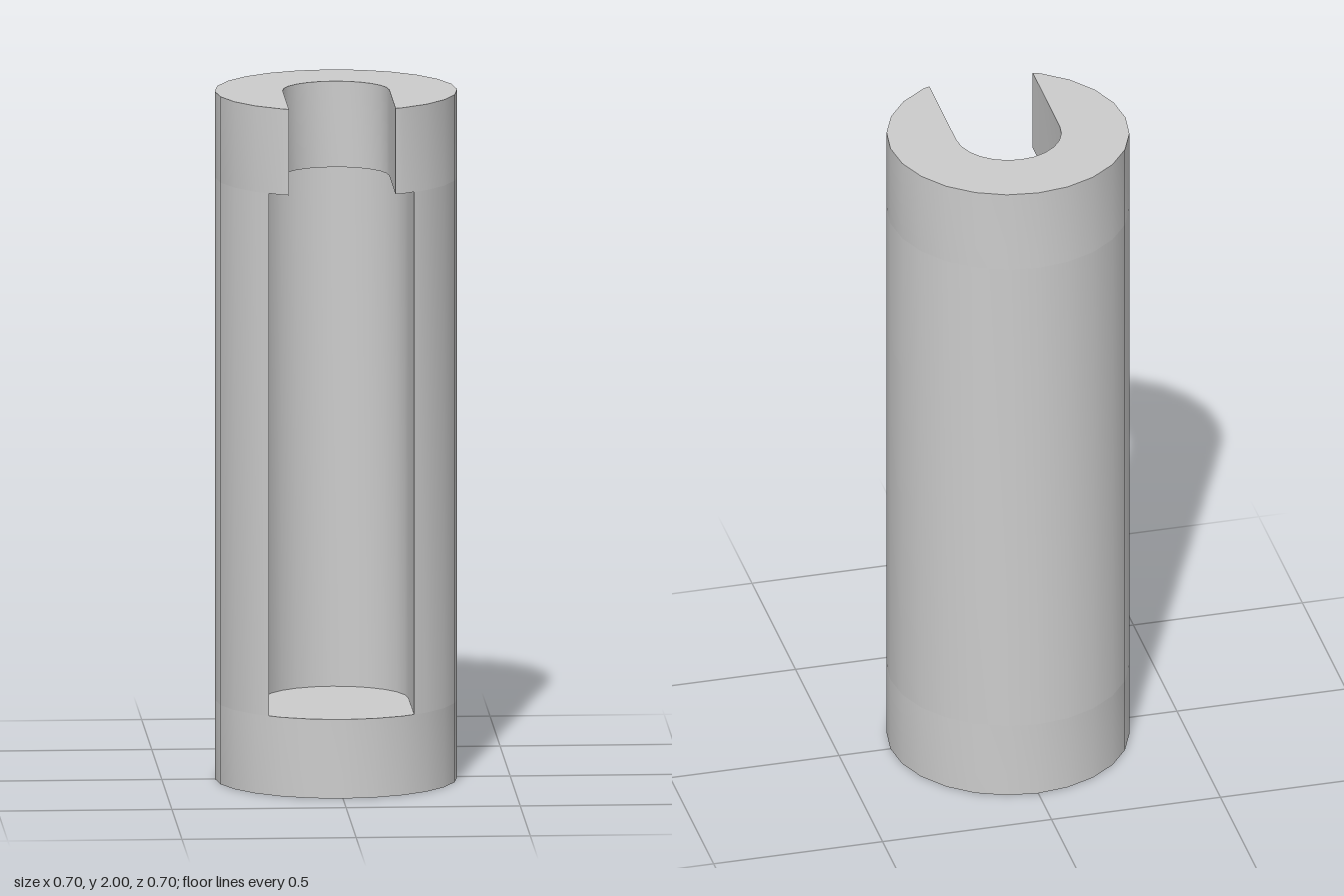
import * as THREE from 'three';
import { toCreasedNormals } from 'three/addons/utils/BufferGeometryUtils.js';

const R = 0.348, SIDES = 24, STEP = (2 * Math.PI) / SIDES;

// Rim corner i, counted counterclockwise from the front (shape -y is world +z)
const rim = (i) => new THREE.Vector2(R * Math.sin(i * STEP), -R * Math.cos(i * STEP));

// Plain round section
function discShape() {
  return new THREE.Shape(Array.from({ length: SIDES }, (_, i) => rim(i)));
}

// Round section with a round-ended slot of half width w, open at the front
function slottedShape(w) {
  const first = Math.ceil(Math.asin(w / R) / STEP);
  const a = rim(first - 1), b = rim(first);
  const lipY = a.lerp(b, (w - a.x) / (b.x - a.x)).y;
  const points = [new THREE.Vector2(w, lipY)];
  for (let i = first; i <= SIDES - first; i++) points.push(rim(i));
  points.push(new THREE.Vector2(-w, lipY));
  for (let i = 0; i <= SIDES / 2; i++) {
    const t = Math.PI - i * STEP;
    points.push(new THREE.Vector2(w * Math.cos(t), w * Math.sin(t)));
  }
  return new THREE.Shape(points);
}

export function createModel() {
  const group = new THREE.Group();
  group.name = 'slottedCylinder';
  const material = new THREE.MeshStandardMaterial({ color: 0xcccccc });

  // Stacked sections: solid base, wide chamber, narrow neck
  const sections = [
    ['base', discShape(), 0, 0.23],
    ['chamber', slottedShape(0.208), 0.23, 1.75],
    ['neck', slottedShape(0.153), 1.75, 2],
  ];
  for (const [name, shape, y0, y1] of sections) {
    const geometry = new THREE.ExtrudeGeometry(shape, { depth: y1 - y0, bevelEnabled: false });
    geometry.rotateX(-Math.PI / 2).translate(0, y0, 0);
    const mesh = new THREE.Mesh(toCreasedNormals(geometry, 0.5), material);
    mesh.name = name;
    group.add(mesh);
  }
  return group;
}
